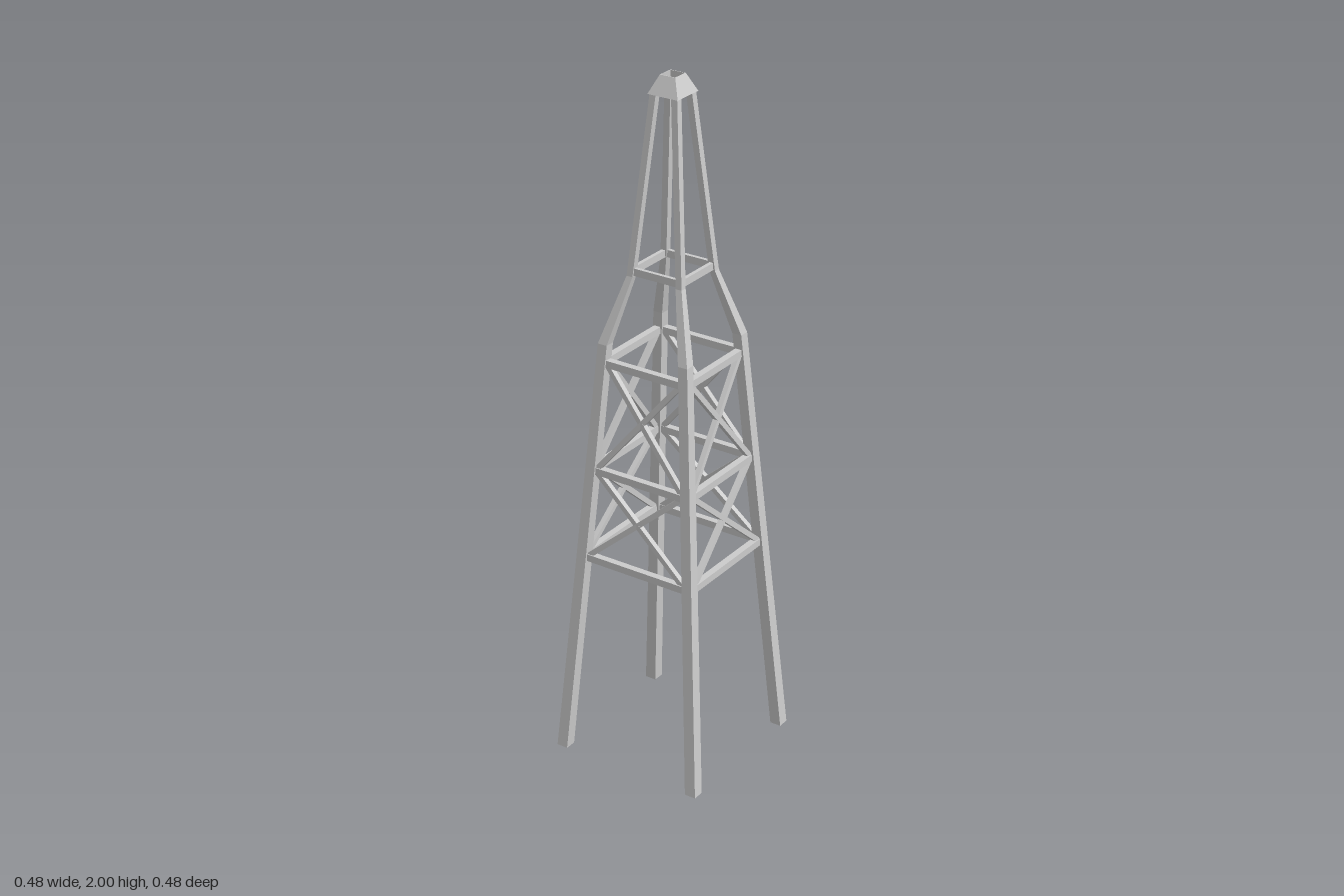
import * as THREE from 'three';

const material = new THREE.MeshStandardMaterial({ color: 0xcccccc, flatShading: true });

// Skin four-cornered rings (counter-clockwise from above) into one surface
function loft(rings, capped) {
  const pos = [];
  const quad = (a, b, c, d) => pos.push(...a, ...b, ...c, ...a, ...c, ...d);
  for (let r = 0; r < rings.length - 1; r++) {
    for (let k = 0; k < 4; k++) {
      const n = (k + 1) % 4;
      quad(rings[r][k], rings[r][n], rings[r + 1][n], rings[r + 1][k]);
    }
  }
  if (capped) {
    const [a, b, c, d] = rings[0];
    quad(d, c, b, a);
    quad(...rings[rings.length - 1]);
  }
  const g = new THREE.BufferGeometry();
  g.setAttribute('position', new THREE.Float32BufferAttribute(pos, 3));
  g.computeVertexNormals();
  return g;
}

const square = (lo, hi, y) => [[hi, y, hi], [hi, y, lo], [lo, y, lo], [lo, y, hi]];

// Leg profile: height, inner offset, outer offset
const profile = [
  [0, 0.205, 0.239],
  [1.26, 0.115, 0.144],
  [1.45, 0.069, 0.088],
  [1.95, 0.024, 0.043],
];

// Centre line of a leg at a given height
function legCentre(y) {
  const i = Math.max(1, profile.findIndex((p) => p[0] >= y));
  const [y0, a0, b0] = profile[i - 1];
  const [y1, a1, b1] = profile[i];
  return THREE.MathUtils.lerp((a0 + b0) / 2, (a1 + b1) / 2, (y - y0) / (y1 - y0));
}

// Square bar between two points
function bar(name, from, to, height, depth) {
  const dir = to.clone().sub(from);
  const mesh = new THREE.Mesh(new THREE.BoxGeometry(dir.length(), height, depth), material);
  mesh.name = name;
  const x = dir.normalize();
  const z = new THREE.Vector3(0, 0, 1).addScaledVector(x, -x.z).normalize();
  const y = z.clone().cross(x);
  mesh.quaternion.setFromRotationMatrix(new THREE.Matrix4().makeBasis(x, y, z));
  mesh.position.copy(from).add(to).multiplyScalar(0.5);
  return mesh;
}

export function createModel() {
  const tower = new THREE.Group();
  tower.name = 'latticeTower';
  const legGeometry = loft(profile.map(([y, lo, hi]) => square(lo, hi, y)), true);
  const levels = [0.618, 0.885, 1.205];

  // Each quarter turn carries one leg and one braced face
  for (let q = 0; q < 4; q++) {
    const side = new THREE.Group();
    side.name = 'towerSide';
    side.rotation.y = (q * Math.PI) / 2;

    const leg = new THREE.Mesh(legGeometry, material);
    leg.name = 'leg';
    side.add(leg);

    // Horizontal girts
    for (const y of [...levels, 1.463]) {
      const c = legCentre(y);
      const depth = y > 1.4 ? 0.011 : 0.02;
      side.add(bar('girt', new THREE.Vector3(-c, y, c), new THREE.Vector3(c, y, c), 0.021, depth));
    }

    // Crossed diagonals between girts
    for (let i = 0; i < levels.length - 1; i++) {
      const [y0, y1] = [levels[i], levels[i + 1]];
      const [c0, c1] = [legCentre(y0), legCentre(y1)];
      for (const s of [-1, 1]) {
        side.add(bar('diagonalBrace',
          new THREE.Vector3(-s * (c0 - 0.012), y0, c0),
          new THREE.Vector3(s * (c1 - 0.012), y1, c1), 0.015, 0.015));
      }
    }
    tower.add(side);
  }

  // Tapered collar, open through the middle
  const outer = square(-0.047, 0.047, 1.95);
  const collar = new THREE.Mesh(loft([
    outer,
    square(-0.024, 0.024, 2),
    square(-0.022, 0.022, 2),
    square(-0.023, 0.023, 1.95),
    outer,
  ], false), material);
  collar.name = 'topCollar';
  tower.add(collar);
  return tower;
}
